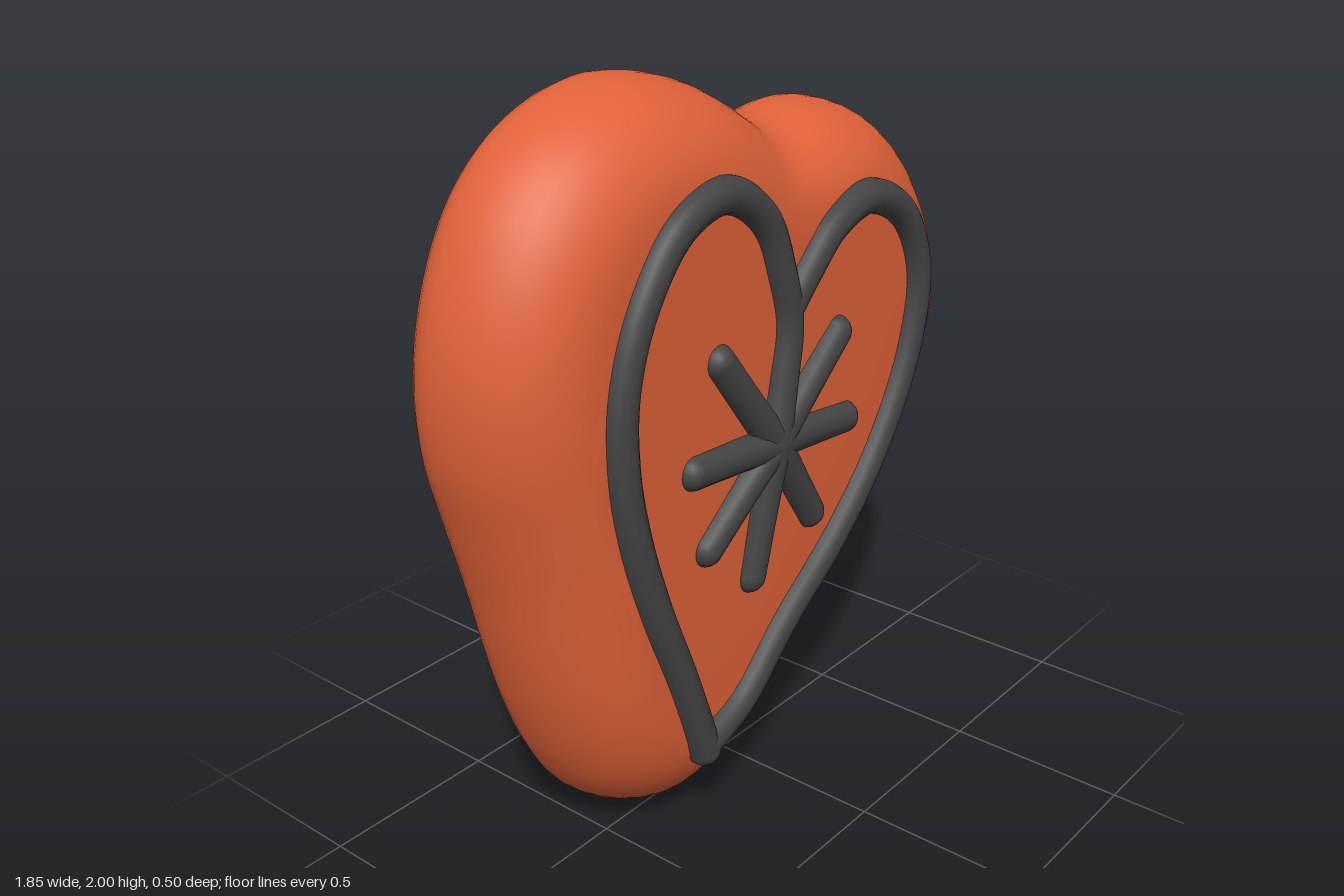
import * as THREE from 'three';

const cookieMat = new THREE.MeshStandardMaterial({ color: 0xdf6138 });
cookieMat.name = 'baked orange';
const icingMat = new THREE.MeshStandardMaterial({ color: 0x444444 });
icingMat.name = 'dark icing';

const CENTRE = new THREE.Vector2(-0.05, 1.12);
const SEGMENTS = 240;

// Lumpy heart outline, anticlockwise from the bottom tip
const OUTLINE = [
  [-0.31, 0], [-0.24, 0.02], [-0.19, 0.05], [-0.1, 0.08], [0, 0.14], [0.06, 0.2], [0.13, 0.28],
  [0.21, 0.355], [0.29, 0.38], [0.36, 0.44], [0.43, 0.48], [0.5, 0.55], [0.55, 0.62], [0.63, 0.66],
  [0.7, 0.74], [0.77, 0.83], [0.81, 0.93], [0.87, 1.0], [0.89, 1.1], [0.925, 1.22], [0.91, 1.33],
  [0.88, 1.43], [0.82, 1.55], [0.73, 1.67], [0.6, 1.77], [0.45, 1.82], [0.33, 1.83], [0.2, 1.815],
  [0.12, 1.83], [0.02, 1.89], [-0.1, 1.95], [-0.25, 1.99], [-0.38, 2], [-0.53, 1.97], [-0.67, 1.9],
  [-0.79, 1.78], [-0.88, 1.6], [-0.925, 1.4], [-0.92, 1.2], [-0.87, 1], [-0.82, 0.82],
  [-0.77, 0.62], [-0.72, 0.45], [-0.65, 0.28], [-0.56, 0.14], [-0.45, 0.05],
];

function cookieGeometry() {
  const curve = new THREE.CatmullRomCurve3(OUTLINE.map(([x, y]) => new THREE.Vector3(x, y, 0)), true);
  const rim = curve.getSpacedPoints(SEGMENTS).slice(0, SEGMENTS).map(p => new THREE.Vector2(p.x, p.y));
  // Softened outline, so that the lumps fade towards the faces
  const soft = rim.map((_, i) => {
    const sum = new THREE.Vector2();
    for (let k = -7; k <= 7; k++) sum.add(rim[(i + k + SEGMENTS) % SEGMENTS]);
    return sum.divideScalar(15);
  });

  // Rings from back to front: inset towards the centre, shrink, depth
  const rings = [];
  for (const s of [0.01, 0.35, 0.7, 0.95]) rings.push([0.23, s, -0.25]);
  for (let i = 0; i <= 9; i++) {
    const a = (i / 9) * Math.PI / 2;
    rings.push([0.23 * (1 - Math.sin(a)), 1, -0.1 - 0.15 * Math.cos(a)]);
  }
  for (let i = 1; i <= 12; i++) {
    const a = (i / 12) * Math.PI / 2;
    rings.push([0.27 * (1 - Math.cos(a)), 1, -0.1 + 0.29 * Math.sin(a)]);
  }
  for (const s of [0.95, 0.7, 0.35, 0.01]) rings.push([0.27, s, 0.192]);

  const positions = [], index = [];
  for (const [inset, shrink, z] of rings) {
    for (let i = 0; i < SEGMENTS; i++) {
      const p = rim[i].clone().lerp(soft[i], Math.min(1, inset / 0.2)).sub(CENTRE);
      p.setLength((p.length() - inset) * shrink).add(CENTRE);
      positions.push(p.x, p.y, z);
    }
  }
  for (let r = 0; r < rings.length - 1; r++) {
    for (let i = 0; i < SEGMENTS; i++) {
      const a = r * SEGMENTS + i, b = r * SEGMENTS + (i + 1) % SEGMENTS;
      index.push(a, b, b + SEGMENTS, a, b + SEGMENTS, a + SEGMENTS);
    }
  }
  // Close the tiny holes in the middle of both faces
  const last = (rings.length - 1) * SEGMENTS;
  for (let i = 1; i < SEGMENTS - 1; i++) {
    index.push(0, i + 1, i, last, last + i, last + i + 1);
  }
  const geometry = new THREE.BufferGeometry();
  geometry.setAttribute('position', new THREE.Float32BufferAttribute(positions, 3));
  geometry.setIndex(index);
  geometry.computeVertexNormals();
  return geometry;
}

// A round-ended line of piped icing
function piping(name, points, radius) {
  const group = new THREE.Group();
  group.name = name;
  const path = points.map(([x, y, z = 0.185]) => new THREE.Vector3(x, y, z));
  const curve = new THREE.CatmullRomCurve3(path);
  const parts = [new THREE.TubeGeometry(curve, points.length * 8, radius, 14)];
  for (const end of [path[0], path[path.length - 1]]) {
    parts.push(new THREE.SphereGeometry(radius, 16, 12).translate(end.x, end.y, end.z));
  }
  for (const part of parts) {
    const mesh = new THREE.Mesh(part, icingMat);
    mesh.name = name;
    group.add(mesh);
  }
  return group;
}

export function createModel() {
  const model = new THREE.Group();
  model.name = 'heartCookie';

  const cookie = new THREE.Mesh(cookieGeometry(), cookieMat);
  cookie.name = 'cookie';
  model.add(cookie);

  // Heart outline: the right-hand lobe's line runs on into the star
  model.add(piping('icingHeartRight', [
    [-0.31, 0.24], [-0.4, 0.49], [-0.5, 0.74], [-0.57, 0.96], [-0.605, 1.15], [-0.6, 1.34],
    [-0.53, 1.53], [-0.39, 1.69], [-0.22, 1.73], [-0.08, 1.64], [-0.01, 1.49], [0.025, 1.35],
    [0, 1.2, 0.19], [-0.04, 1.04, 0.2],
  ], 0.048));
  model.add(piping('icingHeartLeft', [
    [0.03, 1.39], [0.1, 1.46], [0.22, 1.56], [0.38, 1.6], [0.54, 1.52], [0.625, 1.34],
    [0.59, 1.11], [0.45, 0.86], [0.26, 0.66], [0.02, 0.48], [-0.16, 0.32], [-0.31, 0.255],
  ], 0.048));

  // Star arms piped out from the middle
  const armEnds = [
    [-0.25, 1.32], [0.245, 1.26], [-0.35, 1.06], [0.29, 1.0], [-0.3, 0.83], [0.14, 0.77], [-0.12, 0.68],
  ];
  for (const end of armEnds) {
    const middle = [(end[0] - 0.04) / 2, (end[1] + 1.04) / 2, 0.192];
    model.add(piping('icingStarArm', [[-0.04, 1.04, 0.202], middle, end], 0.046));
  }
  return model;
}
